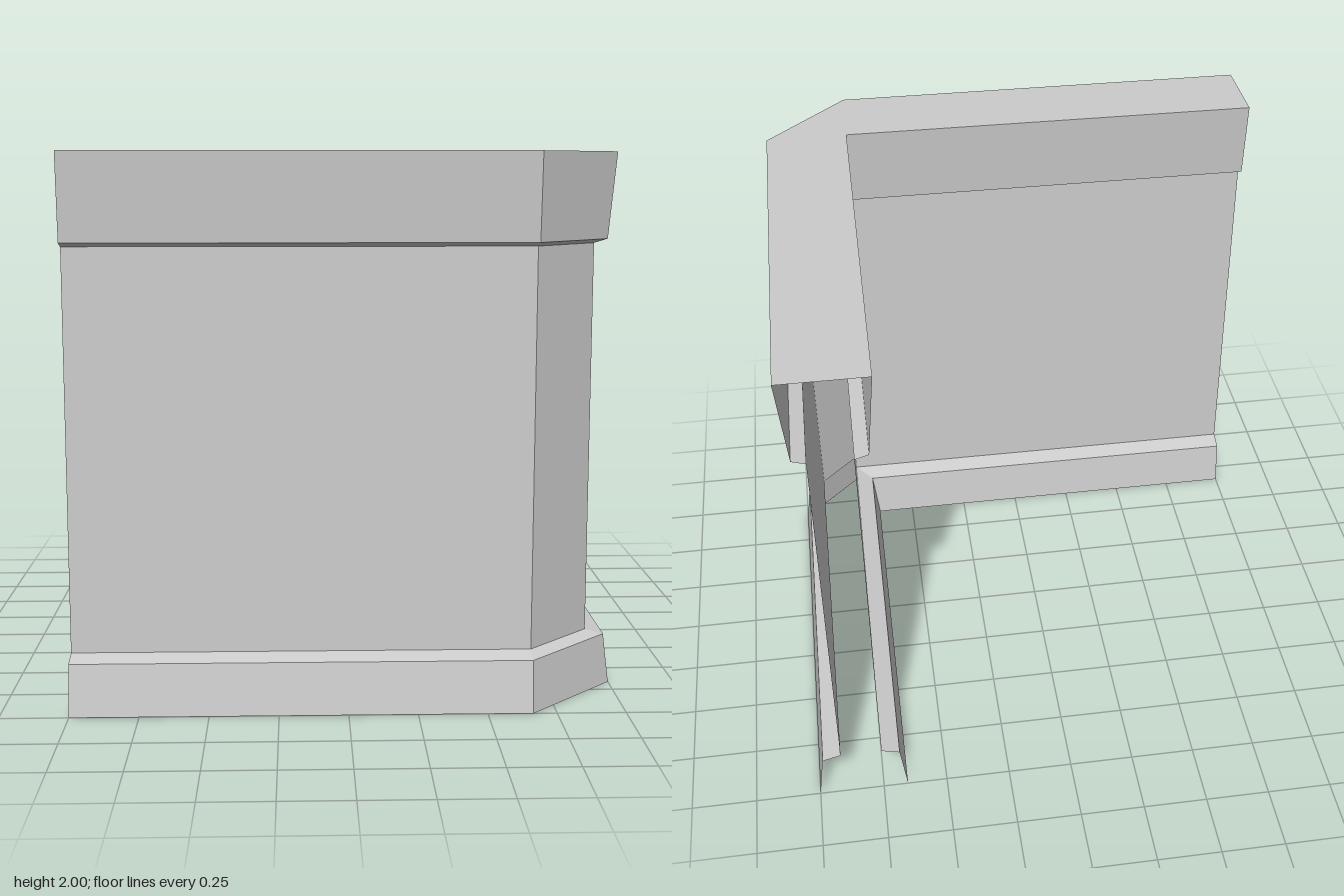
import * as THREE from 'three';

const MID = 0.8275;     // centre line of the wall, measured from the origin
const CHAMFER = 0.665;  // where the cut outer corner begins

// Half profiles: [half thickness, height]
const baseProfile = [[0.1725, 0], [0.149, 0.19], [0.079, 0.21]];
const wallProfile = [[0.079, 0.21], [0.079, 1.67]];
const capProfile = [[0.079, 1.67], [0.129, 1.685], [0.159, 2]];

// Four stations along the L-shaped path for one profile point
function station([half, y], outer) {
  const d = outer ? MID + half : MID - half;
  const c = outer ? CHAMFER : d; // the inner corner stays sharp
  return [[-1, y, d], [c, y, d], [d, y, c], [d, y, -1]].map(p => new THREE.Vector3(...p));
}

// Skin consecutive rows of stations with flat quads
function skin(rows, name) {
  const positions = [];
  const tri = (a, b, c) => {
    const area = b.clone().sub(a).cross(c.clone().sub(a)).length();
    if (area > 1e-7) [a, b, c].forEach(p => positions.push(p.x, p.y, p.z));
  };
  for (let i = 0; i < rows.length - 1; i++) {
    for (let j = 0; j < 3; j++) {
      const a = rows[i][j], b = rows[i][j + 1], c = rows[i + 1][j + 1], d = rows[i + 1][j];
      tri(a, b, c);
      tri(a, c, d);
    }
  }
  const geometry = new THREE.BufferGeometry();
  geometry.setAttribute('position', new THREE.Float32BufferAttribute(positions, 3));
  geometry.computeVertexNormals();
  const material = new THREE.MeshStandardMaterial({
    color: 0xcccccc, flatShading: true, side: THREE.DoubleSide,
  });
  const mesh = new THREE.Mesh(geometry, material);
  mesh.name = name;
  return mesh;
}

const outerRows = profile => profile.map(p => station(p, true));
const innerRows = profile => profile.map(p => station(p, false)).reverse();

export function createModel() {
  const group = new THREE.Group();
  group.name = 'cornerWall';

  // Flared skirting, open underneath
  group.add(skin(outerRows(baseProfile), 'outerBase'));
  group.add(skin(innerRows(baseProfile), 'innerBase'));

  // Plain wall panels, open at both ends
  group.add(skin(outerRows(wallProfile), 'outerWall'));
  group.add(skin(innerRows(wallProfile), 'innerWall'));

  // Coping: outer side, flat top and inner side in one skin
  group.add(skin([...outerRows(capProfile), ...innerRows(capProfile)], 'cap'));

  return group;
}
